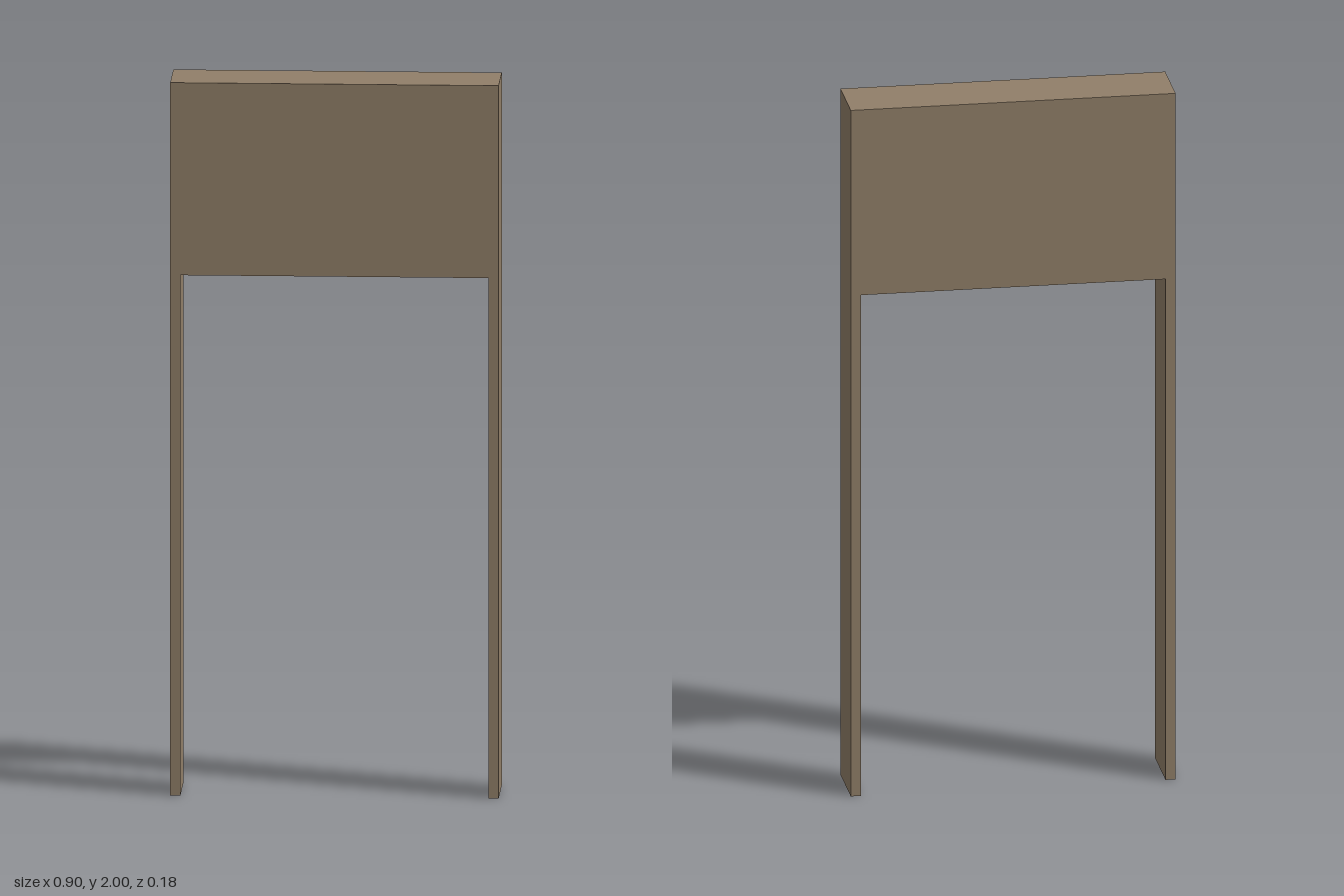
import * as THREE from 'three';

export function createModel() {
  const group = new THREE.Group();
  group.name = 'doorFrame';

  const wood = new THREE.MeshStandardMaterial({ color: 0x917f69 });
  wood.name = 'brown wood';

  const halfWidth = 0.452, innerHalf = 0.424, height = 2, openingTop = 1.46, depth = 0.182;

  // One outline: deep header panel with a thin jamb down each side
  const outline = new THREE.Shape([
    [-halfWidth, 0], [-innerHalf, 0], [-innerHalf, openingTop], [innerHalf, openingTop],
    [innerHalf, 0], [halfWidth, 0], [halfWidth, height], [-halfWidth, height],
  ].map(([x, y]) => new THREE.Vector2(x, y)));

  const geometry = new THREE.ExtrudeGeometry(outline, { depth, bevelEnabled: false });
  geometry.translate(0, 0, -depth / 2);

  const frame = new THREE.Mesh(geometry, wood);
  frame.name = 'headerAndJambs';
  group.add(frame);
  return group;
}
